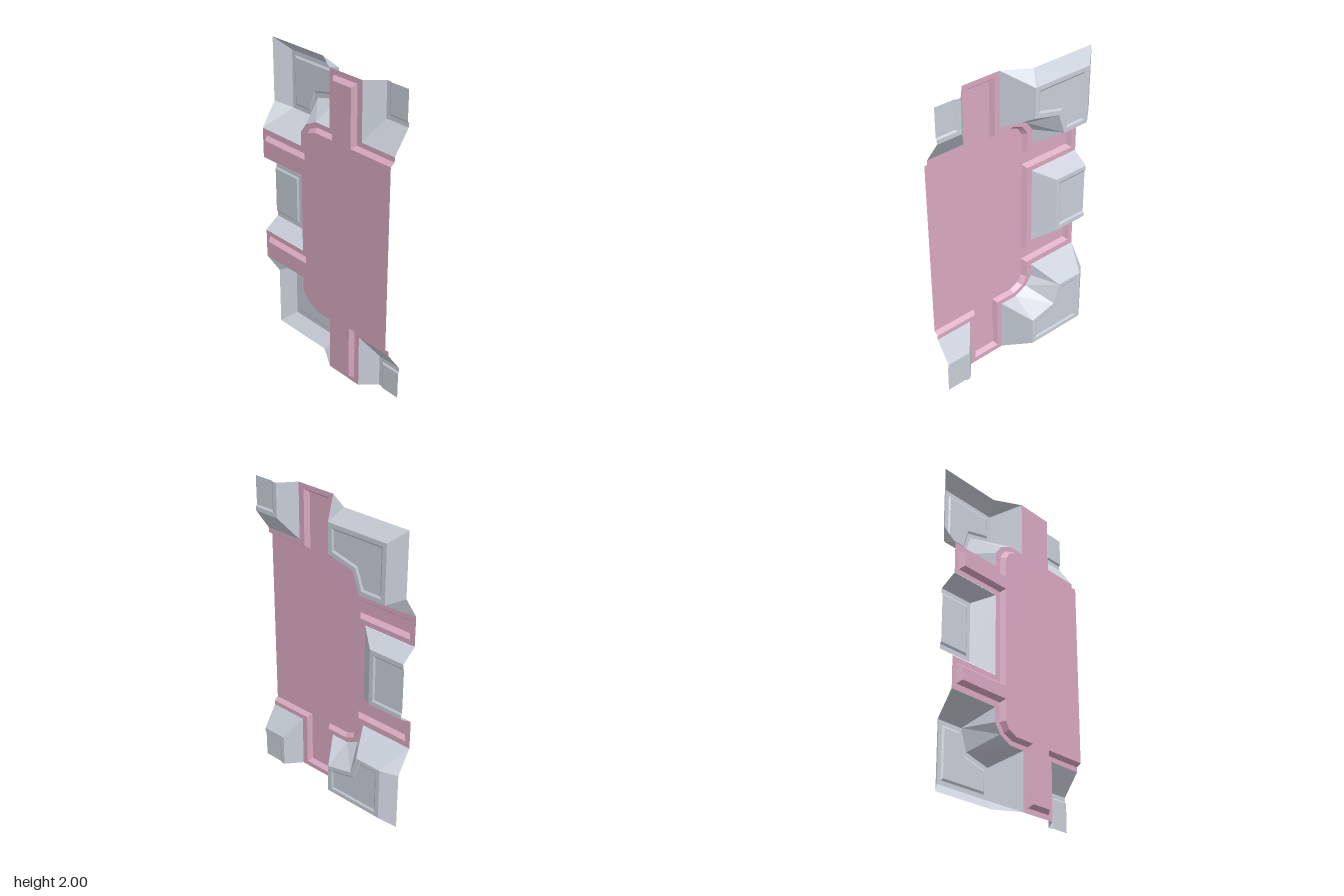
import * as THREE from 'three';

// Plate facing +x; outline points are [z, y], heights are x.
const FLOOR = -0.1, RIM = -0.072, LOW = 0.025, HIGH = 0.1, DEPTH = 0.008;

const pink = new THREE.MeshStandardMaterial({ color: 0xd8a8c0, side: THREE.DoubleSide });
pink.name = 'pinkPlate';
const grey = new THREE.MeshStandardMaterial({ color: 0xc8ced8, side: THREE.DoubleSide });
grey.name = 'greyArmour';

const at = (pts, x) => pts.map(([z, y]) => new THREE.Vector3(x, y, z));
const flip = (pts) => pts.map(([z, y]) => [z, 2 - y]);

// Collects flat triangles, all wound to face +x
class Shell {
  constructor() { this.data = []; }
  tri(a, b, c) {
    const nx = (b.y - a.y) * (c.z - a.z) - (b.z - a.z) * (c.y - a.y);
    for (const p of nx < 0 ? [a, c, b] : [a, b, c]) this.data.push(p.x, p.y, p.z);
  }
  loft(rings, closed = false) {
    for (let r = 0; r + 1 < rings.length; r++) {
      const A = rings[r], B = rings[r + 1], n = A.length;
      for (let i = 0; i < (closed ? n : n - 1); i++) {
        const j = (i + 1) % n;
        this.tri(A[i], A[j], B[j]);
        this.tri(A[i], B[j], B[i]);
      }
    }
  }
  fill(ring) {
    const flat = ring.map((p) => new THREE.Vector2(p.z, p.y));
    for (const [a, b, c] of THREE.ShapeUtils.triangulateShape(flat, [])) this.tri(ring[a], ring[b], ring[c]);
  }
  mesh(name, material, mirrored = false) {
    const d = this.data.slice();
    if (mirrored) {
      for (let i = 0; i < d.length; i += 9) {
        const t = d.slice(i, i + 9);
        [0, 2, 1].forEach((k, n) => {
          d[i + n * 3] = t[k * 3];
          d[i + n * 3 + 1] = 2 - t[k * 3 + 1];
          d[i + n * 3 + 2] = t[k * 3 + 2];
        });
      }
    }
    const g = new THREE.BufferGeometry();
    g.setAttribute('position', new THREE.Float32BufferAttribute(d, 3));
    g.computeVertexNormals();
    const m = new THREE.Mesh(g, material);
    m.name = name;
    return m;
  }
}

export function createModel() {
  const group = new THREE.Group();
  group.name = 'wallPanel';

  // Upper halves of the recessed plate outlines, mirrored about y = 1
  const whole = (half) => [...half, ...flip(half).reverse()];
  const floor = whole([[0.555, 1.592], [0.246, 1.592], [0.246, 1.947], [0.098, 1.947], [0.098, 1.592], [-0.05, 1.592],
    [-0.11, 1.567], [-0.14, 1.52], [-0.14, 1.39], [-0.5, 1.39], [-0.5, 1.312], [-0.14, 1.312]]);
  const lip = whole([[0.555, 1.612], [0.267, 1.612], [0.267, 1.968], [0.082, 1.968], [0.082, 1.612], [-0.058, 1.612],
    [-0.125, 1.583], [-0.162, 1.53], [-0.162, 1.412], [-0.52, 1.412], [-0.52, 1.29], [-0.162, 1.29]]);
  const edge = whole([[0.555, 1.642], [0.305, 1.642], [0.305, 2], [0.045, 2], [0.045, 1.642], [-0.07, 1.642],
    [-0.156, 1.6], [-0.2, 1.54], [-0.2, 1.45], [-0.555, 1.45], [-0.555, 1.257], [-0.2, 1.257]]);

  const plate = new Shell();
  plate.fill(at(floor, FLOOR));
  group.add(plate.mesh('plateFloor', pink));
  const rim = new Shell();
  rim.loft([at(floor, FLOOR), at(lip, RIM), at(edge, RIM)]);
  group.add(rim.mesh('plateRim', pink));

  // Front corner block: sloped sides, then a sunken panel
  const front = new Shell();
  const corner = (z, y) => [[0.555, y], [z, y], [z, 2]];
  const frontPanel = at(corner(0.427, 1.82), LOW - DEPTH);
  front.loft([at(corner(0.305, 1.642), RIM), at(corner(0.389, 1.783), LOW), at(corner(0.415, 1.81), LOW), frontPanel]);
  front.fill([...frontPanel, ...at([[0.555, 2]], LOW - DEPTH)]);

  // Middle block, open at the back edge
  const middle = new Shell();
  const bracket = (z, y) => [[-0.555, y], [z, y], [z, 2 - y], [-0.555, 2 - y]];
  const middlePanel = at(bracket(-0.353, 1.147), LOW - DEPTH);
  middle.loft([at(bracket(-0.2, 1.255), RIM), at(bracket(-0.315, 1.188), LOW), at(bracket(-0.342, 1.159), LOW), middlePanel]);
  middle.fill(middlePanel);
  group.add(middle.mesh('middleBlock', grey));

  // Tall back corner block: notched top with a sunken panel
  const back = new Shell();
  const top = at([[-0.066, 1.925], [-0.47, 1.925], [-0.47, 1.56], [-0.29, 1.56], [-0.245, 1.69], [-0.066, 1.735]], HIGH);
  const border = at([[-0.093, 1.898], [-0.443, 1.898], [-0.443, 1.587], [-0.307, 1.587], [-0.262, 1.715], [-0.093, 1.756]], HIGH);
  const sunk = at([[-0.105, 1.886], [-0.431, 1.886], [-0.431, 1.599], [-0.316, 1.599], [-0.271, 1.725], [-0.105, 1.766]], HIGH - DEPTH);
  back.loft([top, border, sunk], true);
  back.fill(sunk);
  // its sloped sides
  const [t0, t1, t2, t3, t4, t5] = top;
  const [b0, b1, b2, b3, b4, b5, b6] = at([[0.045, 2], [0.045, 1.642], [-0.07, 1.642], [-0.156, 1.6], [-0.2, 1.54],
    [-0.2, 1.45], [-0.555, 1.45]], RIM);
  const [e0, e1, e2] = at([[-0.115, 2], [-0.555, 2], [-0.555, 1.6]], LOW);
  back.loft([[e0, e1, e2], [t0, t1, t2]]);
  back.loft([[b0, b1], [t0, t5]]);
  back.loft([[b2, b3, b4], [t5, t4, t3]]);
  back.loft([[b5, b6], [t3, t2]]);
  back.tri(b0, e0, t0);
  back.tri(b1, b2, t5);
  back.tri(b4, b5, t3);
  back.tri(b6, e2, t2);

  // Upper and lower pairs
  for (const [word, mirrored] of [['upper', false], ['lower', true]]) {
    group.add(front.mesh(word + 'FrontBlock', grey, mirrored));
    group.add(back.mesh(word + 'BackBlock', grey, mirrored));
  }
  return group;
}
